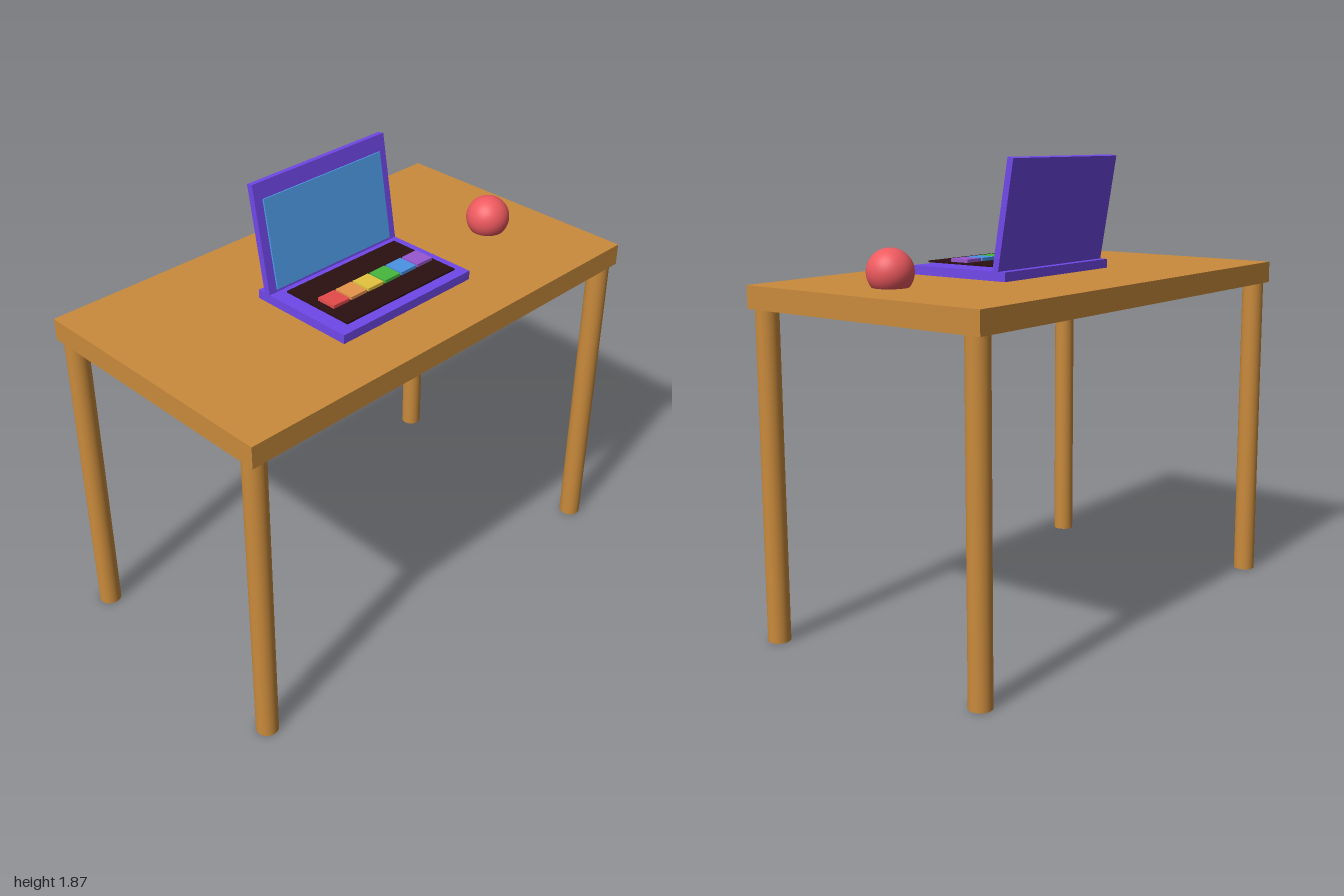
import * as THREE from 'three';

const mat = (color) => new THREE.MeshStandardMaterial({ color });

export function createModel() {
  const model = new THREE.Group();
  model.name = 'deskWithLaptop';

  const wood = mat(0xca8b3c);
  const purple = mat(0x7048e8);

  const add = (parent, name, geometry, material, x, y, z) => {
    const mesh = new THREE.Mesh(geometry, material);
    mesh.name = name;
    mesh.position.set(x, y, z);
    parent.add(mesh);
    return mesh;
  };
  const box = (w, h, d) => new THREE.BoxGeometry(w, h, d);

  // Table: slab top on four round legs
  const table = new THREE.Group();
  table.name = 'table';
  model.add(table);
  add(table, 'tableTop', box(2, 0.09, 1.13), wood, 0, 1.358, 0);
  const legGeometry = new THREE.CylinderGeometry(0.045, 0.045, 1.32, 32);
  for (const [side, x] of [['Left', 0.95], ['Right', -0.95]]) {
    for (const [end, z] of [['front', 0.513], ['back', -0.513]]) {
      add(table, `${end}${side}Leg`, legGeometry, wood, x, 0.66, z);
    }
  }

  // Laptop base with a thin raised key panel
  const laptop = new THREE.Group();
  laptop.name = 'laptop';
  model.add(laptop);
  add(laptop, 'laptopBase', box(0.688, 0.038, 0.468), purple, -0.003, 1.421, 0.091);
  add(laptop, 'keyPanel', box(0.586, 0.007, 0.328), mat(0x2a0f10), -0.003, 1.453, 0.126);

  // Row of coloured keys
  const keyGeometry = box(0.082, 0.014, 0.086);
  [0xe54b4b, 0xe5944a, 0xe5c440, 0x45b83c, 0x4a94e5, 0x9858d0].forEach((color, i) => {
    add(laptop, `key${i + 1}`, keyGeometry, mat(color), -0.221 + i * 0.091, 1.463, 0.141);
  });

  // Lid leaning back about its lower front edge
  const lid = new THREE.Group();
  lid.name = 'lid';
  lid.position.set(-0.003, 1.42, -0.077);
  lid.rotation.x = -THREE.MathUtils.degToRad(10);
  laptop.add(lid);
  add(lid, 'lidPanel', box(0.688, 0.46, 0.028), purple, 0, 0.23, -0.014);
  add(lid, 'screen', box(0.614, 0.362, 0.012), mat(0x4f9eeb), 0.001, 0.213, 0.001);

  // Ball resting on the table
  add(model, 'ball', new THREE.SphereGeometry(0.09, 40, 28), mat(0xee5a5f), 0.724, 1.459, 0.09);

  return model;
}
